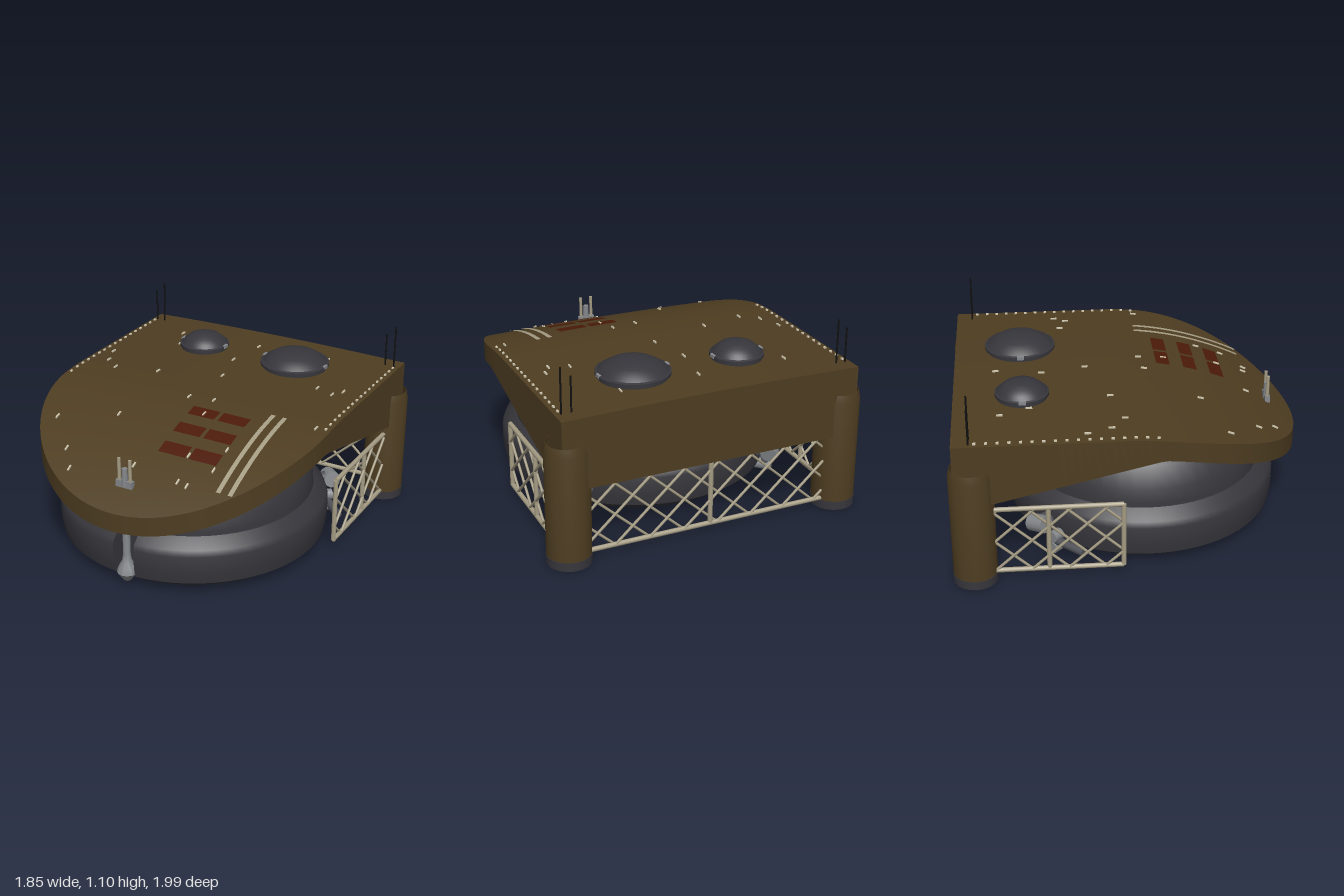
import * as THREE from 'three';
import { mergeGeometries, toCreasedNormals } from 'three/addons/utils/BufferGeometryUtils.js';

const mat = (name, color, side = THREE.FrontSide) => {
  const m = new THREE.MeshStandardMaterial({ color, side });
  m.name = name;
  return m;
};
const V = (x, y, z) => new THREE.Vector3(x, y, z);
const lathe = (pts, seg = 48, a = 0, len = Math.PI * 2, crease = 0.45) =>
  toCreasedNormals(new THREE.LatheGeometry(pts.map(p => new THREE.Vector2(...p)), seg, a, len), crease);

// grid surface; its front faces along du x dv
function surface(nu, nv, fn) {
  const pos = [], idx = [];
  for (let j = 0; j <= nv; j++) for (let i = 0; i <= nu; i++) pos.push(...fn(i / nu, j / nv));
  for (let j = 0; j < nv; j++) for (let i = 0; i < nu; i++) {
    const a = j * (nu + 1) + i, b = a + 1, d = a + nu + 1, c = d + 1;
    idx.push(a, b, c, a, c, d);
  }
  const g = new THREE.BufferGeometry();
  g.setAttribute('position', new THREE.Float32BufferAttribute(pos, 3));
  g.setIndex(idx);
  g.computeVertexNormals();
  return g;
}

// round bar between two points
function bar(p, q, r, seg = 8) {
  const d = q.clone().sub(p);
  const g = new THREE.CylinderGeometry(r, r, d.length(), seg);
  g.applyQuaternion(new THREE.Quaternion().setFromUnitVectors(V(0, 1, 0), d.normalize()));
  const m = p.clone().add(q).multiplyScalar(0.5);
  return g.translate(m.x, m.y, m.z);
}

// canopy heights and plan outline (s: 0 at the back, 1 at the front tip)
const topY = (x, z) => 0.857 - 0.305 * Math.max(0, z + 0.05) ** 2 - 0.012 * (x / 0.86) ** 2;
const lowY = z => z > 0.15 ? 0.715 - 0.387 * (z - 0.15) ** 1.5 : 0.715 - 0.239 * (0.15 - z);
function outline(s) {
  if (s < 0.4) return [0.86, -0.965 + (s / 0.4) * 1.095];
  const a = (s - 0.4) / 0.6 * Math.PI / 2;
  return [0.86 * Math.cos(a), 0.13 + 0.867 * Math.sin(a)];
}

export function createModel() {
  const root = new THREE.Group();
  const brown = mat('brown armour', 0x4e3d21, THREE.DoubleSide);
  const dark = mat('dark hull', 0x36363c, THREE.DoubleSide);
  const cream = mat('weathered cream', 0xa69d84);
  const pale = mat('pale chips', 0xd0c8b0);
  const red = mat('rust red', 0x4c1a09);
  const grey = mat('grey metal', 0x84878b);
  const gunmetal = mat('gunmetal', 0x505258);
  const black = mat('black', 0x121212);
  const add = (name, geo, m, parent = root) => {
    const mesh = new THREE.Mesh(geo, m);
    mesh.name = name;
    parent.add(mesh);
    return mesh;
  };

  // canopy: a hollow shell of roof, two side walls and back wall
  const canopy = new THREE.Group();
  canopy.name = 'canopy';
  root.add(canopy);
  add('roof', surface(16, 60, (u, v) => {
    const [w, z] = outline(1 - v), x = (2 * u - 1) * w;
    return [x, topY(x, z), z];
  }), brown, canopy);
  for (const s of [1, -1]) add('sideWall', surface(1, 60, (u, v) => {
    const [w, z] = outline(v), k = s > 0 ? u : 1 - u;
    return [s * w, lowY(z) + (topY(w, z) - lowY(z)) * k, z];
  }), brown, canopy);
  add('backWall', surface(1, 16, (u, v) => {
    const x = (2 * v - 1) * 0.86, z = -0.965;
    return [x, lowY(z) + (topY(x, z) - lowY(z)) * u, z];
  }), brown, canopy);

  // painted patches that follow the roof
  const patch = (x0, x1, z0, z1, n, lift) => surface(2, n, (u, v) => {
    const x = x0 + (x1 - x0) * u, z = z1 + (z0 - z1) * v;
    return [x, topY(x, z) + lift, z];
  });
  for (const x of [0.06, 0.25]) for (const z of [0.2, 0.36, 0.52])
    add('redPanel', patch(x, x + 0.168, z, z + 0.08, 4, 0.004), red);
  for (const x of [0.5, 0.57]) add('paleStripe', patch(x, x + 0.026, 0.11, 0.75, 24, 0.006), cream);

  // raised rivets and paint chips, tilted to the roof slope
  const chip = (x, z, w, len) => new THREE.BoxGeometry(w, 0.009, len)
    .rotateX(Math.atan(0.61 * Math.max(0, z + 0.05))).translate(x, topY(x, z) + 0.005, z);
  const rivets = [];
  for (const s of [1, -1]) for (let z = -0.842; z < 0.12; z += 0.06) rivets.push(chip(s * 0.832, z, 0.011, 0.016));
  add('rivets', mergeGeometries(rivets), pale);
  const spots = [-0.54, -0.71, -0.47, -0.55, -0.01, -0.73, -0.05, -0.47, 0.01, -0.22, -0.36, -0.1, -0.77, -0.25,
    -0.72, -0.12, -0.62, -0.04, 0.45, -0.75, 0.57, -0.34, 0.68, -0.3, 0.72, -0.37, -0.02, 0.12, 0.13, 0.1,
    0.15, 0.25, 0.78, 0.13, -0.65, 0.53, -0.31, 0.41, -0.46, 0.72, -0.37, 0.83, 0.27, 0.75, 0.33, 0.76,
    0.24, 0.58, 0.42, 0.48, 0.42, 0.63, -0.02, 0.72];
  const chips = [];
  for (let i = 0; i < spots.length; i += 2) chips.push(chip(spots[i], spots[i + 1], 0.008, 0.036));
  add('paintChips', mergeGeometries(chips), pale);

  // roof hatches with side clips
  for (const [x, r] of [[-0.315, 0.15], [0.305, 0.205]]) {
    const hatch = new THREE.Group();
    hatch.name = 'hatch';
    hatch.position.set(x, 0, -0.585);
    root.add(hatch);
    add('hatchRim', lathe([[r * 0.95, 0.84], [r * 0.95, 0.865], [r, 0.868], [r, 0.885], [r * 0.93, 0.89], [r * 0.9, 0.882]]), dark, hatch);
    add('hatchDome', lathe([[r * 0.93, 0.885], [r * 0.82, 0.908], [r * 0.62, 0.932], [r * 0.35, 0.946], [0, 0.95]], 48, 0, Math.PI * 2, 0.8), dark, hatch);
    for (const s of [1, -1])
      add('hatchClip', new THREE.BoxGeometry(0.016, 0.018, 0.04).translate(s * r * 0.97, 0.882, 0), grey, hatch);
  }

  // lower hull: dome over a thick ring that is notched at the front
  const hull = new THREE.Group();
  hull.name = 'hull';
  hull.position.z = 0.1;
  root.add(hull);
  add('hullDome', lathe([[0.7, 0.325], [0.697, 0.36], [0.685, 0.44], [0.625, 0.555], [0.54, 0.62], [0.42, 0.69], [0.28, 0.745], [0.14, 0.775], [0, 0.785]], 48, 0, Math.PI * 2, 0.6), dark, hull);
  const ring = [[0.59, 0.01], [0.62, 0.01], [0.69, 0.02], [0.772, 0.08], [0.784, 0.15], [0.784, 0.25], [0.772, 0.285],
    [0.705, 0.337], [0.62, 0.337], [0.605, 0.2], [0.59, 0.01]];
  const gap = 0.084;
  add('hullRing', lathe(ring, 64, gap, Math.PI * 2 - 2 * gap, 0.6), dark, hull);
  for (const a of [gap, -gap]) {
    const cap = add('notchWall', new THREE.ShapeGeometry(new THREE.Shape(ring.slice(0, -1).map(p => new THREE.Vector2(...p)))), dark, hull);
    cap.rotation.y = a - Math.PI / 2;
  }
  add('notchBox', new THREE.BoxGeometry(0.13, 0.27, 0.16).translate(0, 0.19, 0.58), dark, hull);
  add('innerPipe', new THREE.TorusGeometry(0.585, 0.028, 10, 64).rotateX(Math.PI / 2).translate(0, 0.12, 0), gunmetal, hull);

  // probe hanging in the notch
  add('probe', lathe([[0, 0.02], [0.022, 0.035], [0.058, 0.085], [0.05, 0.115], [0.026, 0.16], [0.021, 0.2], [0.021, 0.6]], 12).translate(0, 0, 0.845), grey);

  // twin gun on the nose
  const gun = new THREE.Group();
  gun.name = 'noseGun';
  gun.position.z = 0.845;
  root.add(gun);
  add('gunBody', new THREE.BoxGeometry(0.1, 0.04, 0.03).translate(0, 0.63, 0), grey, gun);
  add('gunCore', new THREE.CylinderGeometry(0.016, 0.02, 0.1, 10).translate(0, 0.67, 0), grey, gun);
  for (const s of [1, -1]) add('gunBarrel', bar(V(s * 0.034, 0.65, 0), V(s * 0.034, 0.775, 0), 0.01), cream, gun);

  // hollow rear legs with dark feet, and a pair of aerials above each
  for (const s of [1, -1]) {
    const leg = new THREE.Group();
    leg.name = 'rearLeg';
    leg.position.set(s * 0.8, 0, -0.873);
    root.add(leg);
    add('legTube', lathe([[0.116, 0.002], [0.121, 0.002], [0.121, 0.65], [0.111, 0.695], [0.109, 0.695], [0.116, 0.65], [0.116, 0.002]], 32), brown, leg);
    add('legFoot', lathe([[0.118, 0], [0.123, 0], [0.123, 0.05], [0.118, 0.05]], 32), dark, leg);
    const xs = s > 0 ? [0.77, 0.825] : [-0.83, -0.775];
    xs.forEach((x, i) => add('aerial', bar(V(x, 0.84, -0.873), V(x, i ? 1.1 : 1.045, -0.873), 0.005, 6), black));
  }

  // lattice fences: local u runs along x from 0
  function fence(name, panels, px, pz, ry) {
    const bars = [], y0 = 0.06, h = 0.385, end = panels[panels.length - 1];
    for (const y of [y0, y0 + h]) bars.push(bar(V(0, y, 0), V(end, y, 0), 0.014));
    for (const u of panels) bars.push(bar(V(u, y0, 0), V(u, y0 + h, 0), 0.014));
    const k = 1.1;
    for (let c = -0.5; c < end + 0.5; c += 0.2) for (const d of [1, -1]) {
      // clip u = c + d*k*y to the fence
      const at = u => (u - c) / (d * k);
      const lo = Math.max(0, Math.min(at(0), at(end))), hi = Math.min(h, Math.max(at(0), at(end)));
      if (hi - lo > 0.02) bars.push(bar(V(c + d * k * lo, y0 + lo, d * 0.005), V(c + d * k * hi, y0 + hi, d * 0.005), 0.008, 6));
    }
    const m = add(name, mergeGeometries(bars), cream);
    m.position.set(px, 0, pz);
    m.rotation.y = ry;
  }
  for (const s of [1, -1]) fence('sideFence', [0, 0.405, 0.71], s * 0.83, -0.065, Math.PI / 2);
  fence('backFence', [0, 0.74, 1.48], -0.74, -0.92, 0);

  // thruster clusters at the rear quarters of the hull
  for (const s of [1, -1]) {
    const pod = new THREE.Group();
    pod.name = 'thrusterCluster';
    root.add(pod);
    const P = (x, y, z) => V(s * x, y, z);
    add('podArm', bar(P(0.48, 0.18, -0.4), P(0.6, 0.2, -0.53), 0.045, 14), gunmetal, pod);
    add('podHead', bar(P(0.56, 0.19, -0.56), P(0.63, 0.21, -0.48), 0.05, 14), grey, pod);
    add('podBarrel', bar(P(0.76, 0.1, -0.28), P(0.6, 0.1, -0.45), 0.024, 12), gunmetal, pod);
    for (const y of [0.06, 0.13]) add('podNozzle', bar(P(0.57, y, -0.38), P(0.64, y, -0.45), 0.034, 12), grey, pod);
  }
  return root;
}
